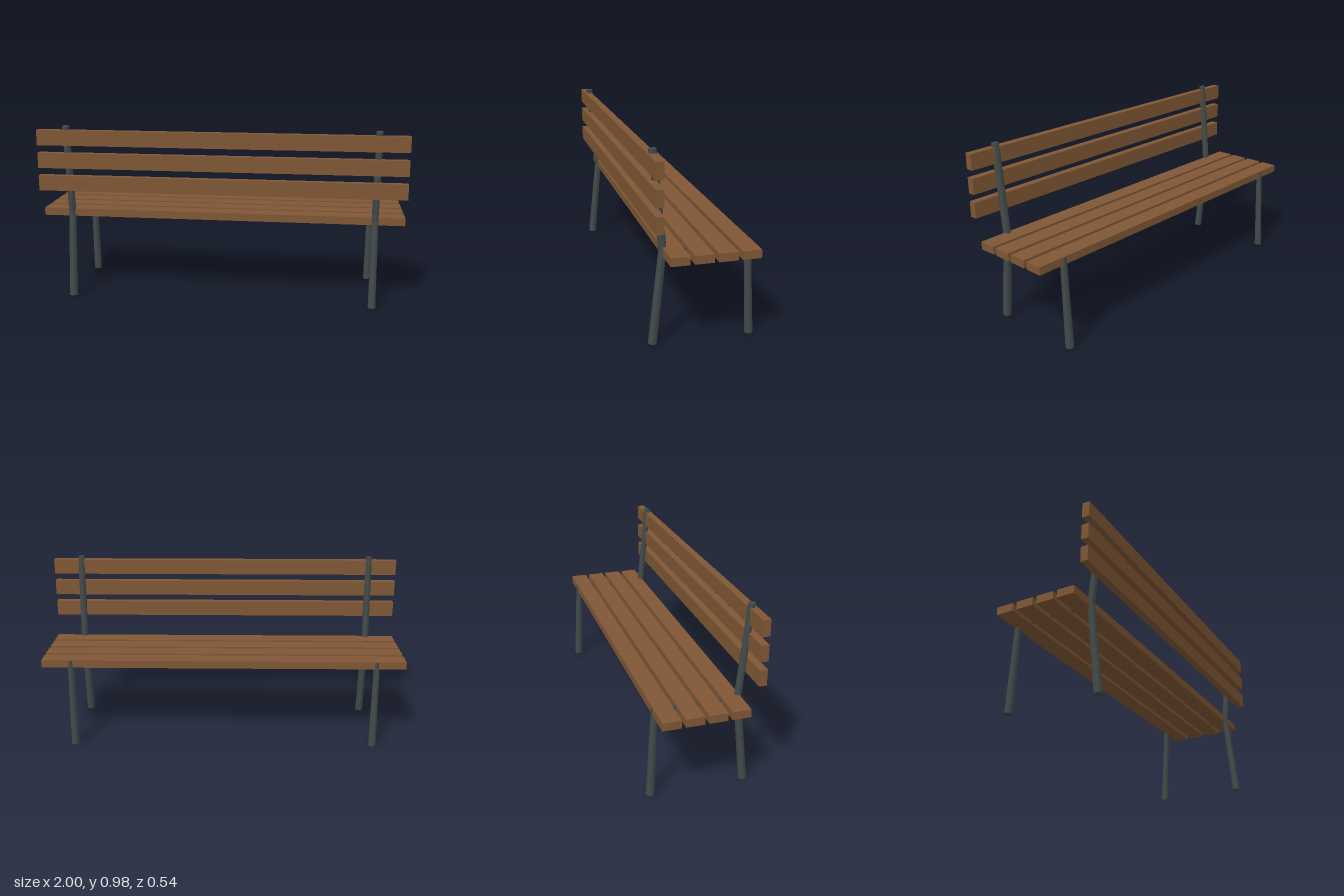
import * as THREE from 'three';

const wood = new THREE.MeshStandardMaterial({ color: 0x7f5735 });
wood.name = 'brown wood';
const metal = new THREE.MeshStandardMaterial({ color: 0x434b4b });
metal.name = 'dark grey metal';

// Plank running the full width of the bench
function plank(name, y, z, height, depth) {
  const mesh = new THREE.Mesh(new THREE.BoxGeometry(2, height, depth), wood);
  mesh.name = name;
  mesh.position.set(0, y, z);
  return mesh;
}

// Six-sided bar in the side plane, from [z, y] to [z, y], with its own end radii
function bar(name, [z0, y0], [z1, y1], r0, r1) {
  const dy = y1 - y0, dz = z1 - z0;
  const mesh = new THREE.Mesh(new THREE.CylinderGeometry(r1, r0, Math.hypot(dy, dz), 6), metal);
  mesh.name = name;
  mesh.position.set(0, (y0 + y1) / 2, (z0 + z1) / 2);
  mesh.rotation.x = Math.atan2(dz, dy);
  return mesh;
}

// One side frame: splayed legs, leaning back post and a slim rail inside the seat
function sideFrame(name, x) {
  const frame = new THREE.Group();
  frame.name = name;
  frame.position.x = x;
  frame.add(
    bar('rearLeg', [0.249, 0.002], [0.198, 0.49], 0.023, 0.02),
    bar('backPost', [0.198, 0.475], [0.247, 0.973], 0.02, 0.02),
    bar('frontLeg', [-0.247, 0.001], [-0.225, 0.497], 0.0225, 0.0175),
    bar('seatRailRear', [0.2, 0.479], [-0.015, 0.479], 0.016, 0.011),
    bar('seatRailFront', [-0.015, 0.479], [-0.225, 0.479], 0.011, 0.015),
  );
  return frame;
}

export function createModel() {
  const bench = new THREE.Group();
  bench.name = 'bench';

  // Side frames
  bench.add(sideFrame('leftFrame', 0.84), sideFrame('rightFrame', -0.84));

  // Seat planks
  for (let i = 0; i < 4; i++) {
    bench.add(plank('seatPlank' + (i + 1), 0.479, 0.156 - i * 0.1155, 0.042, 0.094));
  }

  // Backrest planks
  for (let i = 0; i < 3; i++) {
    bench.add(plank('backPlank' + (i + 1), 0.658 + i * 0.126, 0.252, 0.084, 0.04));
  }
  return bench;
}
